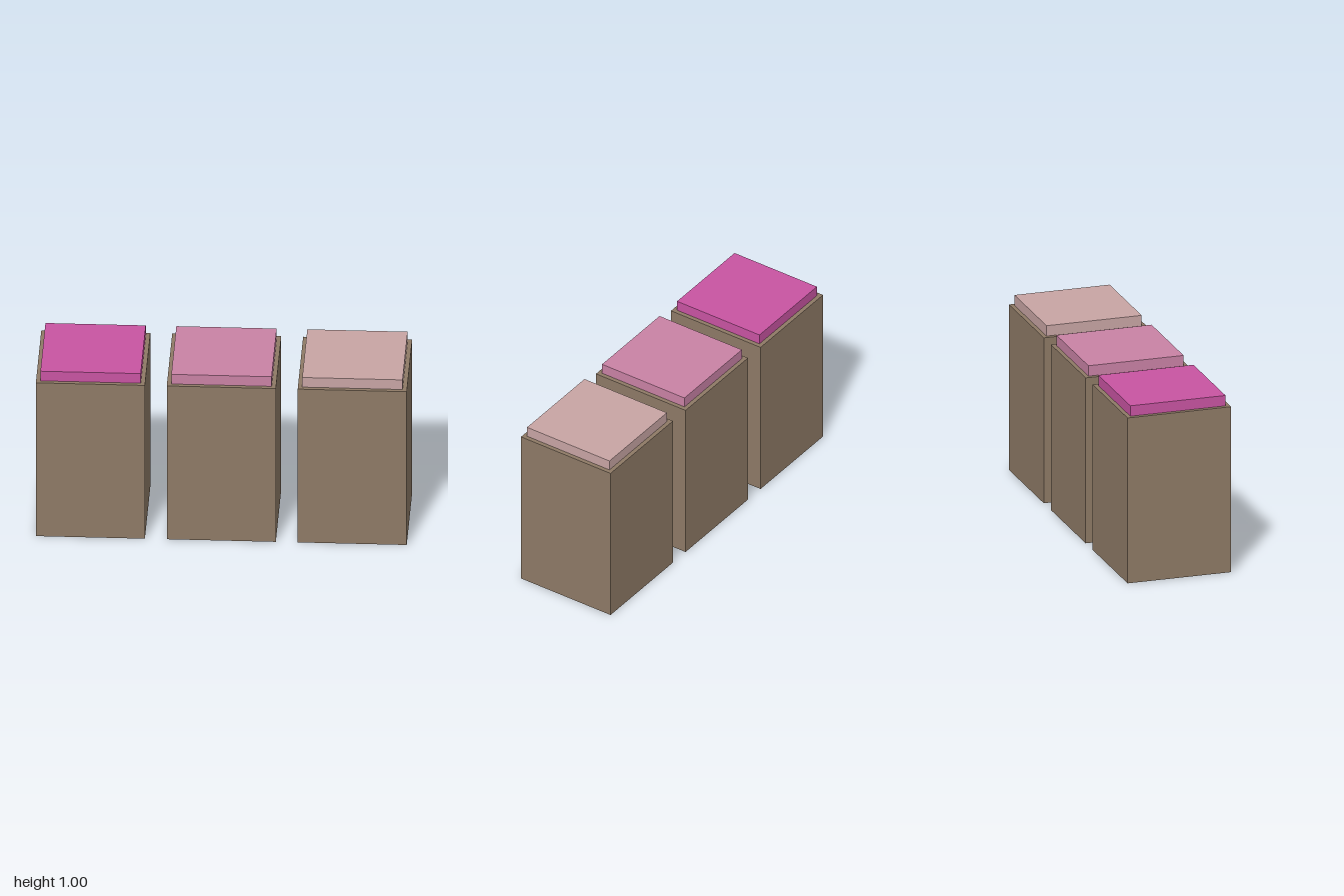
import * as THREE from 'three';

const BODY_WIDTH = 0.588, BODY_HEIGHT = 0.941;
const CUSHION_WIDTH = 0.541, CUSHION_HEIGHT = 0.059;
const SPACING = 0.706;

// Box standing on the given height
function block(name, width, height, bottom, color) {
  const mesh = new THREE.Mesh(
    new THREE.BoxGeometry(width, height, width),
    new THREE.MeshStandardMaterial({ color })
  );
  mesh.name = name;
  mesh.position.y = bottom + height / 2;
  return mesh;
}

export function createModel() {
  const model = new THREE.Group();
  model.name = 'stoolRow';

  // Three identical stools, each with its own cushion colour
  [0xc854a2, 0xc982a5, 0xc8a5a4].forEach((color, i) => {
    const stool = new THREE.Group();
    stool.name = `stool${i + 1}`;
    stool.position.x = (i - 1) * SPACING;
    stool.add(
      block('body', BODY_WIDTH, BODY_HEIGHT, 0, 0x8e7a66),
      block('cushion', CUSHION_WIDTH, CUSHION_HEIGHT, BODY_HEIGHT, color)
    );
    model.add(stool);
  });

  return model;
}
